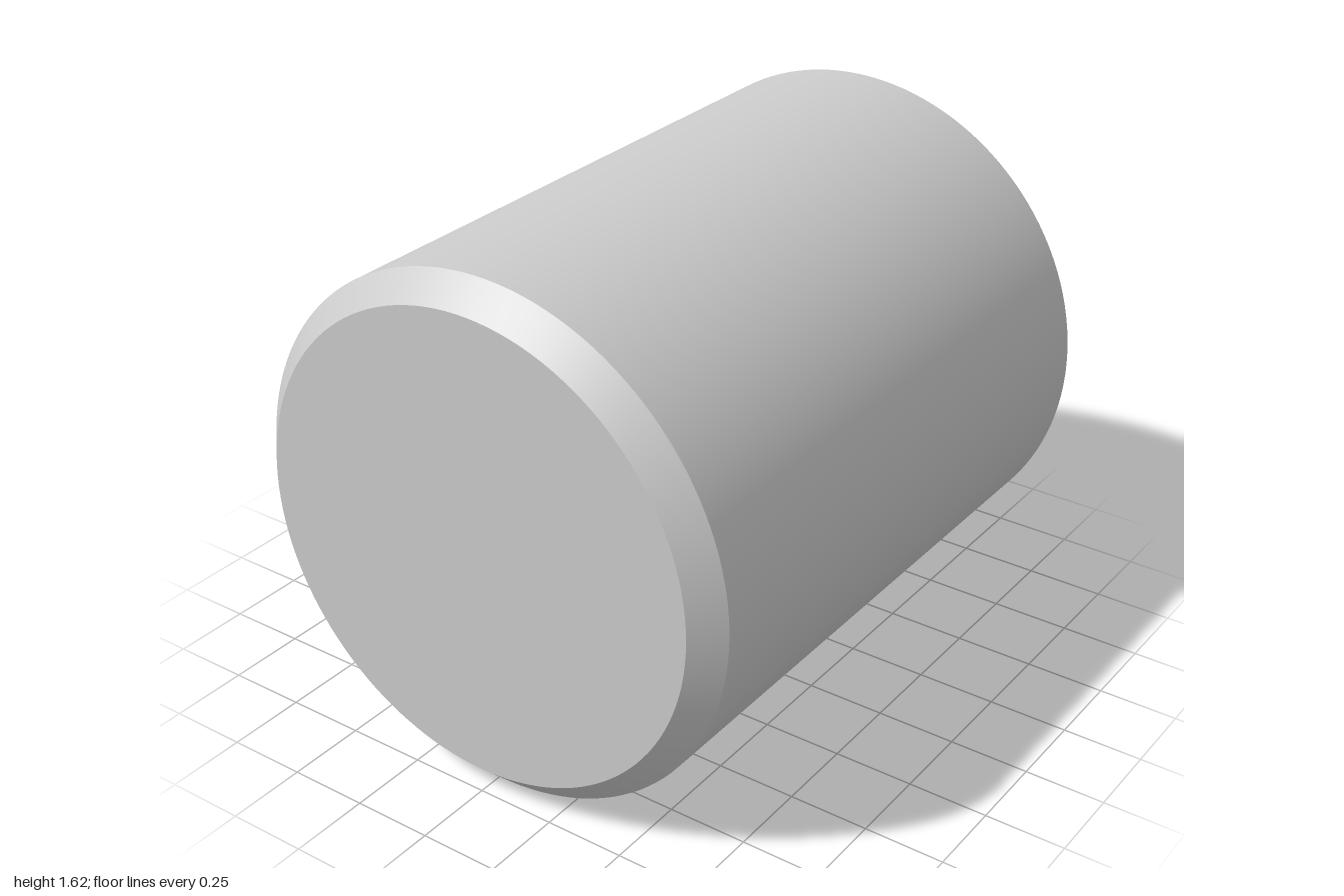
import * as THREE from 'three';
import { toCreasedNormals } from 'three/addons/utils/BufferGeometryUtils.js';

const R = 0.808;                 // outer radius
const CORE = 0.268, ROOT = 0.326; // thread crest and root radii
const PITCH = 0.108, HALF = 0.039; // thread pitch, half width of the V groove
const MOUTH = 1, FLOOR = -0.15;  // x of the open face and of the hole's floor
const SEG = 128;

const material = new THREE.MeshStandardMaterial({ color: 0xcccccc });

// Bore radius at a distance d from the groove's centre line
function boreRadius(d) {
  const t = Math.abs(d - PITCH * Math.round(d / PITCH));
  return Math.max(CORE, ROOT - (ROOT - CORE) * t / HALF);
}

// Section from the floor's centre, along the thread, out over the end face
function section(angle) {
  const start = MOUTH + PITCH * (angle + Math.PI / 2 + 0.09) / (2 * Math.PI);
  const turns = Math.ceil((MOUTH - FLOOR) / PITCH) + 2;
  const pts = [[FLOOR, 0]];
  for (let k = -turns; k <= 1; k++) {
    for (const off of [-HALF, 0, HALF]) {
      const x = THREE.MathUtils.clamp(start + k * PITCH + off, FLOOR, MOUTH);
      pts.push([x, boreRadius(x - start)]);
    }
  }
  pts.push([MOUTH, R]);
  return pts.map(([x, r]) => new THREE.Vector3(x, r * Math.cos(angle), r * Math.sin(angle)));
}

// Sweep the section round the x axis, leaving out collapsed triangles
function threadedFaceGeometry() {
  const positions = [];
  const tri = new THREE.Triangle();
  const add = (a, b, c) => {
    if (tri.set(a, b, c).getArea() > 1e-9) {
      for (const p of [a, b, c]) positions.push(p.x, p.y, p.z);
    }
  };
  for (let i = 0; i < SEG; i++) {
    const a = section(2 * Math.PI * i / SEG);
    const b = section(2 * Math.PI * (i + 1) / SEG);
    for (let j = 0; j < a.length - 1; j++) {
      add(a[j], a[j + 1], b[j]);
      add(a[j + 1], b[j + 1], b[j]);
    }
  }
  const g = new THREE.BufferGeometry();
  g.setAttribute('position', new THREE.Float32BufferAttribute(positions, 3));
  return toCreasedNormals(g, 0.5);
}

export function createModel() {
  const group = new THREE.Group();
  group.name = 'threadedCylinder';

  // Outer wall with a chamfered, closed end at -x
  const profile = [[0, -1], [R - 0.08, -1], [R, -0.92], [R, 1]]
    .map(([r, h]) => new THREE.Vector2(r, h));
  const lathe = new THREE.LatheGeometry(profile, SEG).rotateZ(-Math.PI / 2);
  const body = new THREE.Mesh(toCreasedNormals(lathe, 0.5), material);
  body.name = 'body';

  // End face at +x with the blind threaded hole
  const hole = new THREE.Mesh(threadedFaceGeometry(), material);
  hole.name = 'threadedHole';

  group.add(body, hole);
  group.position.y = R;
  return group;
}
